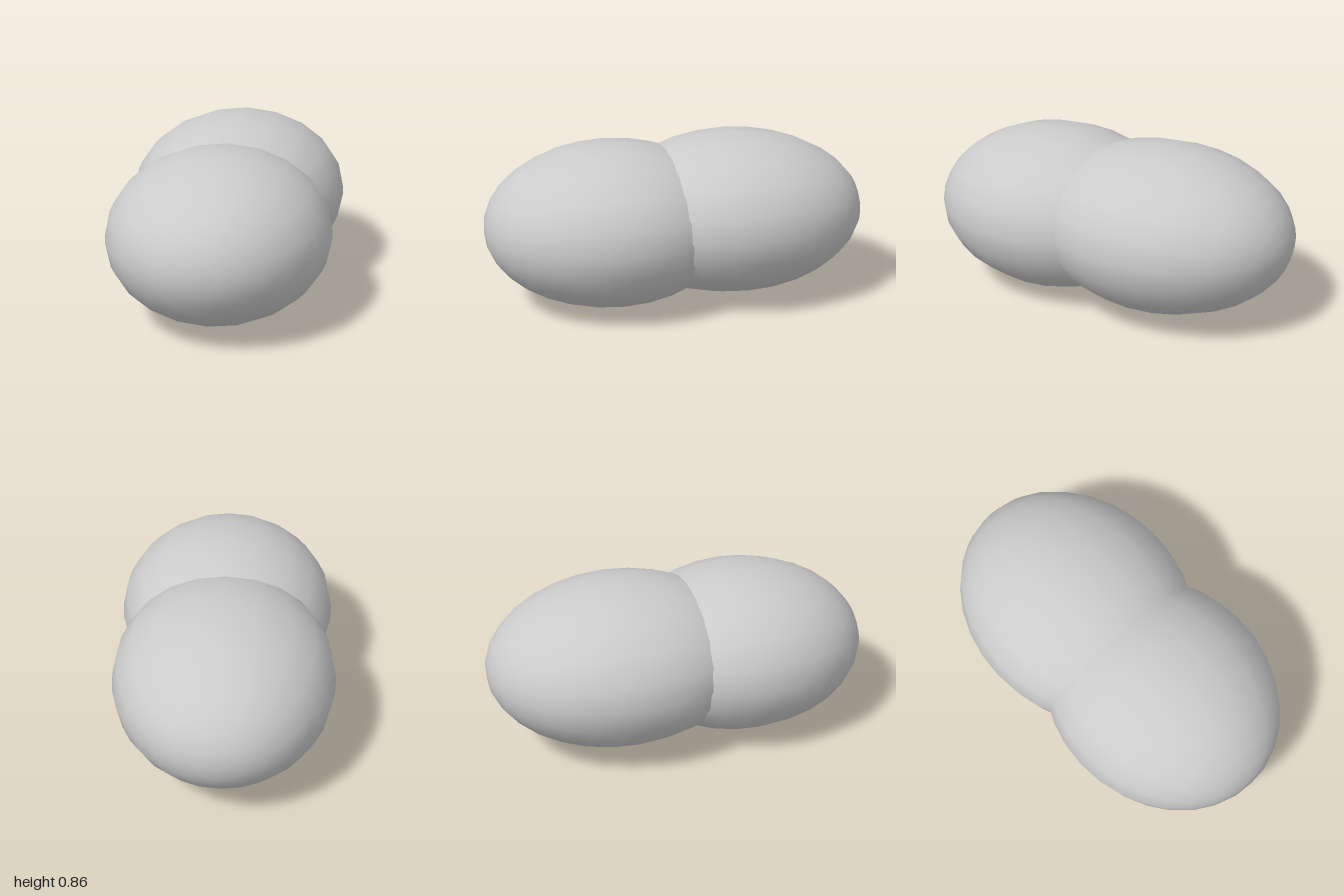
import * as THREE from 'three';

// Ellipsoid with its poles along z
function lobe(name, radii, centre, material) {
  const geometry = new THREE.SphereGeometry(1, 20, 16);
  geometry.rotateX(Math.PI / 2);
  geometry.scale(...radii);
  const mesh = new THREE.Mesh(geometry, material);
  mesh.name = name;
  mesh.position.set(...centre);
  return mesh;
}

export function createModel() {
  const group = new THREE.Group();
  group.name = 'twinLobedBody';
  const material = new THREE.MeshStandardMaterial({ color: 0xcccccc });

  // Shorter, slightly lower front lobe and longer rear lobe, overlapping at the waist
  group.add(
    lobe('frontLobe', [0.565, 0.423, 0.655], [0, 0.424, 0.345], material),
    lobe('rearLobe', [0.565, 0.42, 0.698], [0, 0.445, -0.302], material),
  );
  return group;
}
